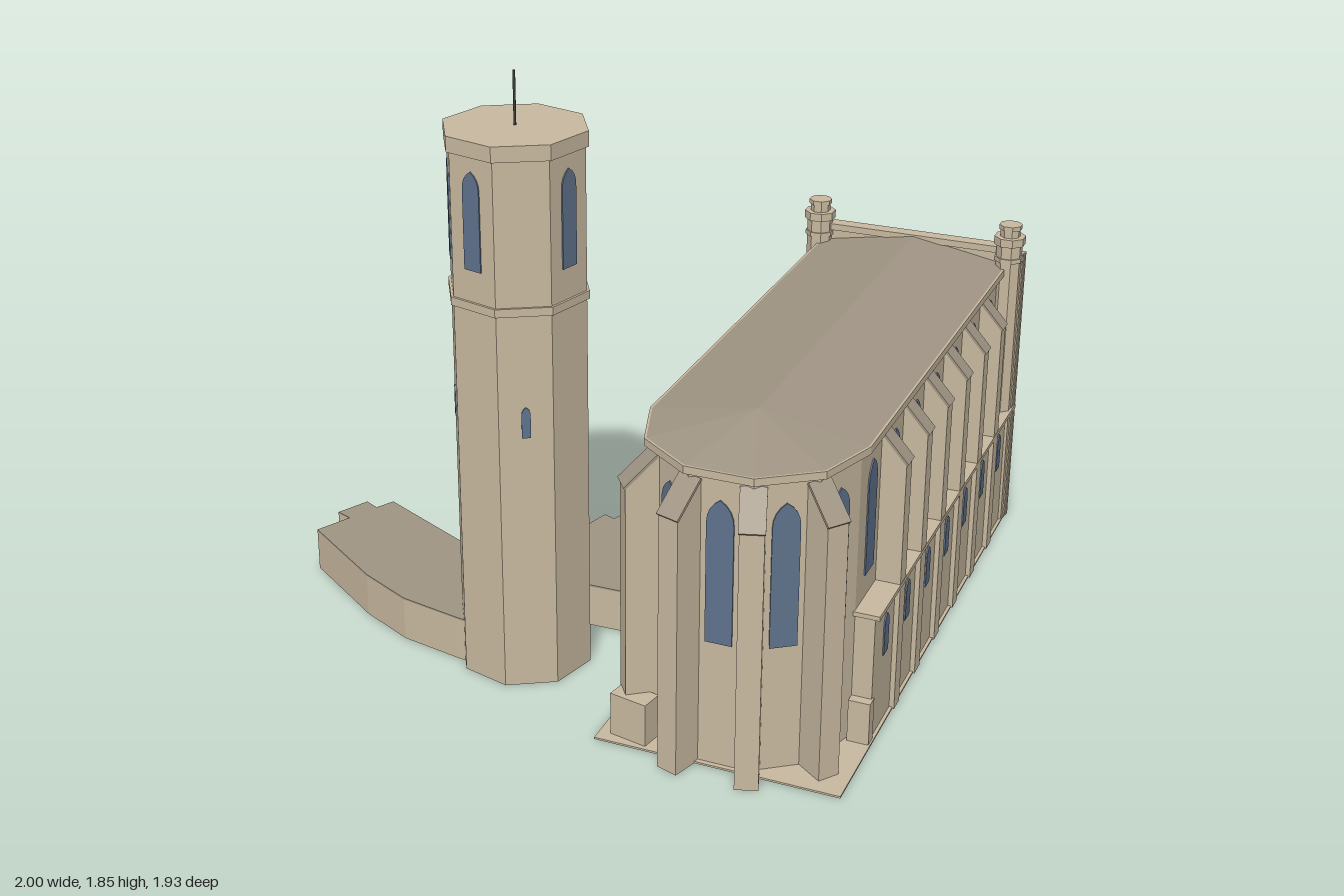
import * as THREE from 'three';

const mat = (name, color) => Object.assign(new THREE.MeshStandardMaterial({ color }), { name });
const CX = 0.62, APSE_Z = 0.59, WALL = 0.3;
const rad = THREE.MathUtils.degToRad;

export function createModel() {
  const root = new THREE.Group();
  root.name = 'churchWithTower';
  const stone = mat('stone', 0xc8b9a0), roofing = mat('roof', 0xa09584), glass = mat('glass', 0x5f728c);
  const recess = mat('recessedStone', 0x9c8f7c), iron = mat('iron', 0x3a3a3a);

  const add = (parent, name, geo, m, x = 0, y = 0, z = 0) => {
    const mesh = new THREE.Mesh(geo, m);
    mesh.name = name;
    mesh.position.set(x, y, z);
    parent.add(mesh);
    return mesh;
  };
  const group = (name, x = 0, y = 0, z = 0, parent = root) => {
    const g = new THREE.Group();
    g.name = name;
    g.position.set(x, y, z);
    parent.add(g);
    return g;
  };
  // box given by its limits
  const block = (parent, name, x0, x1, y0, y1, z0, z1, m = stone) =>
    add(parent, name, new THREE.BoxGeometry(x1 - x0, y1 - y0, z1 - z0), m, (x0 + x1) / 2, (y0 + y1) / 2, (z0 + z1) / 2);
  // upright prism over a floor plan of [x, z] points
  const prism = (parent, name, pts, y0, y1, m) => {
    const shape = new THREE.Shape(pts.map(([x, z]) => new THREE.Vector2(x, -z)));
    const geo = new THREE.ExtrudeGeometry(shape, { depth: y1 - y0, bevelEnabled: false }).rotateX(-Math.PI / 2);
    return add(parent, name, geo, m, 0, y0, 0);
  };
  const polar = (r, deg, cx = 0, cz = 0) => [cx + r * Math.cos(rad(deg)), cz + r * Math.sin(rad(deg))];
  const ring = (r, n, start, cx, cz) => Array.from({ length: n }, (_, i) => polar(r, start + (i * 360) / n, cx, cz));
  // thin pointed-arch plate facing the direction deg (0 = +x, 90 = +z)
  const arch = (parent, name, w, y0, y1, x, z, deg, m = glass) => {
    const h = w / 2, spring = y1 - w * 0.9, s = new THREE.Shape();
    s.moveTo(-h, y0).lineTo(h, y0).lineTo(h, spring);
    s.quadraticCurveTo(h, y1 - w * 0.3, 0, y1).quadraticCurveTo(-h, y1 - w * 0.3, -h, spring);
    const geo = new THREE.ExtrudeGeometry(s, { depth: 0.004, bevelEnabled: false, curveSegments: 4 });
    add(parent, name, geo, m, x, 0, z).rotation.y = Math.PI / 2 - rad(deg);
  };
  // buttress running outward from u0 to u1 with a sloped top
  const buttress = (parent, x, z, deg, u0, u1, w) => {
    const g = group('buttress', x, 0, z, parent);
    g.rotation.y = -rad(deg);
    const s = new THREE.Shape([[u0 - 0.03, 0], [u1, 0], [u1, 0.8], [u0, 0.885], [u0 - 0.03, 0.885]].map(p => new THREE.Vector2(...p)));
    add(g, 'buttressPier', new THREE.ExtrudeGeometry(s, { depth: w, bevelEnabled: false }), stone, 0, 0, -w / 2);
    const cap = add(g, 'buttressSlope', new THREE.BoxGeometry(Math.hypot(u1 - u0, 0.085) + 0.01, 0.008, w + 0.006), roofing, (u0 + u1) / 2, 0.8425, 0);
    cap.rotation.z = Math.atan2(-0.085, u1 - u0);
  };

  // nave outline: long sides closed by five sides of a decagon
  const outline = (r, back) => [[r, back], ...[0, 36, 72, 108, 144, 180].map(a => polar(r, a, 0, APSE_Z)), [-r, back]];
  const church = group('church', CX);
  block(church, 'groundSlab', -0.37, 0.37, 0, 0.006, -0.955, 0.89);
  prism(church, 'naveWalls', outline(WALL, -0.94), 0, 0.91, stone);
  prism(church, 'cornice', outline(0.325, -0.93), 0.905, 0.928, stone);

  // low-pitched roof, hipped over the apse
  const eave = outline(0.318, -0.93).map(([x, z]) => [x, 0.928, z]);
  const front = [0, 0.985, APSE_Z], back = [0, 0.985, -0.93], tri = [];
  tri.push(eave[0], back, front);
  for (let i = 0; i < eave.length - 1; i++) tri.push(eave[i], front, eave[i + 1]);
  tri.push(eave[eave.length - 1], front, back);
  const roofGeo = new THREE.BufferGeometry();
  roofGeo.setAttribute('position', new THREE.Float32BufferAttribute(tri.flat(), 3));
  roofGeo.computeVertexNormals();
  add(church, 'naveRoof', roofGeo, roofing);

  // aisles with their windows and buttresses
  block(church, 'aisles', -0.36, 0.36, 0, 0.405, -0.94, 0.59);
  block(church, 'stringCourse', -0.376, 0.376, 0.402, 0.416, -0.96, 0.6);
  for (const s of [1, -1]) {
    const deg = s > 0 ? 0 : 180;
    for (let i = 0; i < 7; i++) {
      const z = 0.48 - i * 0.2143;
      arch(church, 'clerestoryWindow', 0.078, 0.49, 0.84, s * WALL, z, deg);
      arch(church, 'aisleWindow', 0.042, 0.235, 0.365, s * 0.36, z, deg);
      if (i < 6) buttress(church, 0, z - 0.106, deg, 0.3, 0.375, 0.054);
    }
  }

  // apse windows and radial buttresses
  for (const a of [18, 54, 90, 126, 162]) {
    const [x, z] = polar(WALL * Math.cos(rad(18)), a, 0, APSE_Z);
    arch(church, 'apseWindow', 0.08, 0.395, 0.835, x, z, a);
  }
  for (const a of [36, 72, 108, 144]) buttress(church, 0, APSE_Z, a, 0.295, 0.385, 0.068);
  block(church, 'sideAnnex', 0.3, 0.365, 0, 0.14, 0.58, 0.62);
  add(church, 'cornerAnnex', new THREE.BoxGeometry(0.12, 0.14, 0.07), stone, -0.27, 0.07, 0.83).rotation.y = -0.2;

  // rear facade, built facing +z and turned round
  const facade = group('facade', 0, 0, -0.95, church);
  facade.rotation.y = Math.PI;
  block(facade, 'facadeWall', -0.372, 0.372, 0, 0.97, -0.03, 0);
  block(facade, 'facadeParapet', -0.33, 0.33, 0.968, 0.99, -0.04, 0.008);
  block(facade, 'facadeBand', -0.33, 0.33, 0.9, 0.915, -0.01, 0.007);
  for (const s of [1, -1]) block(facade, 'cornerPilaster', s * 0.345 - 0.03, s * 0.345 + 0.03, 0, 0.97, -0.01, 0.008);

  // rose window
  const rose = group('roseWindow', 0, 0.67, 0, facade);
  add(rose, 'roseGlass', new THREE.CircleGeometry(0.155, 32), glass, 0, 0, 0.003);
  add(rose, 'roseFrame', new THREE.RingGeometry(0.152, 0.165, 32), stone, 0, 0, 0.005);
  add(rose, 'roseHub', new THREE.CircleGeometry(0.026, 16), stone, 0, 0, 0.006);
  for (let i = 0; i < 6; i++)
    add(rose, 'roseSpoke', new THREE.BoxGeometry(0.31, 0.01, 0.003), stone, 0, 0, 0.004).rotation.z = (i * Math.PI) / 6;

  // portal and blind arcades
  for (let i = 0; i < 9; i++) arch(facade, 'galleryNiche', 0.03, 0.425, 0.51, (i - 4) * 0.046, 0, 90, recess);
  for (const s of [1, -1]) for (let i = 0; i < 4; i++)
    arch(facade, 'portalNiche', 0.03, 0.21, 0.31, s * (0.13 + i * 0.042), 0, 90, recess);
  arch(facade, 'portalSurround', 0.18, 0, 0.34, 0, 0, 90, recess);
  arch(facade, 'portalDoor', 0.11, 0, 0.25, 0, 0.003, 90, stone);

  // octagonal corner turrets
  for (const s of [1, -1]) {
    const turret = group('turret', s * 0.328, 0, -0.91, church);
    const drum = (name, r, y0, y1) => prism(turret, name, ring(r, 8, 22.5, 0, 0), y0, y1, stone);
    drum('turretShaft', 0.043, 0, 1.01);
    drum('turretCollar', 0.048, 0.95, 0.965);
    drum('turretRing', 0.052, 1.008, 1.035);
    drum('turretLantern', 0.033, 1.03, 1.065);
    drum('turretCap', 0.038, 1.06, 1.075);
  }

  // octagonal bell tower
  const tower = group('bellTower', -0.14, 0, 0.53);
  const stage = (name, r, y0, y1) => prism(tower, name, ring(r, 8, -8, 0, 0), y0, y1, stone);
  stage('towerShaft', 0.205, 0, 1.65);
  stage('towerBand', 0.213, 1.19, 1.215);
  stage('towerCornice', 0.214, 1.642, 1.688);
  add(tower, 'mast', new THREE.CylinderGeometry(0.004, 0.004, 0.16, 8), iron, 0, 1.765, 0);
  for (let i = 0; i < 8; i++) {
    const a = 14.5 + i * 45, [x, z] = polar(0.205 * Math.cos(rad(22.5)), a);
    if (i !== 1 && i !== 7) arch(tower, 'belfryWindow', 0.06, 1.31, 1.6, x, z, a);
    if (i % 2) arch(tower, 'slitWindow', 0.026, 0.815, 0.91, x, z, a);
  }

  // low cloister building around the tower
  const plan = [[-1, 0.19], [-0.95, 0.085], [-0.9, 0.11], [-0.87, 0.05], [-0.445, 0.25], [-0.395, 0.22], [-0.29, 0.27],
    [-0.175, -0.145], [-0.135, -0.13], [-0.085, -0.29], [0.015, -0.29], [0.11, -0.375], [0.27, -0.375], [0.27, 0.355],
    [0.13, 0.355], [0.125, 0.305], [-0.11, 0.31], [-0.14, 0.53], [-0.28, 0.655], [-0.315, 0.65], [-0.52, 0.61],
    [-0.7, 0.525], [-1, 0.325], [-0.945, 0.21]];
  const low = group('lowBuilding');
  prism(low, 'lowBuildingWalls', plan, 0, 0.137, stone);
  prism(low, 'lowBuildingRoof', plan, 0.137, 0.142, roofing);

  return root;
}
